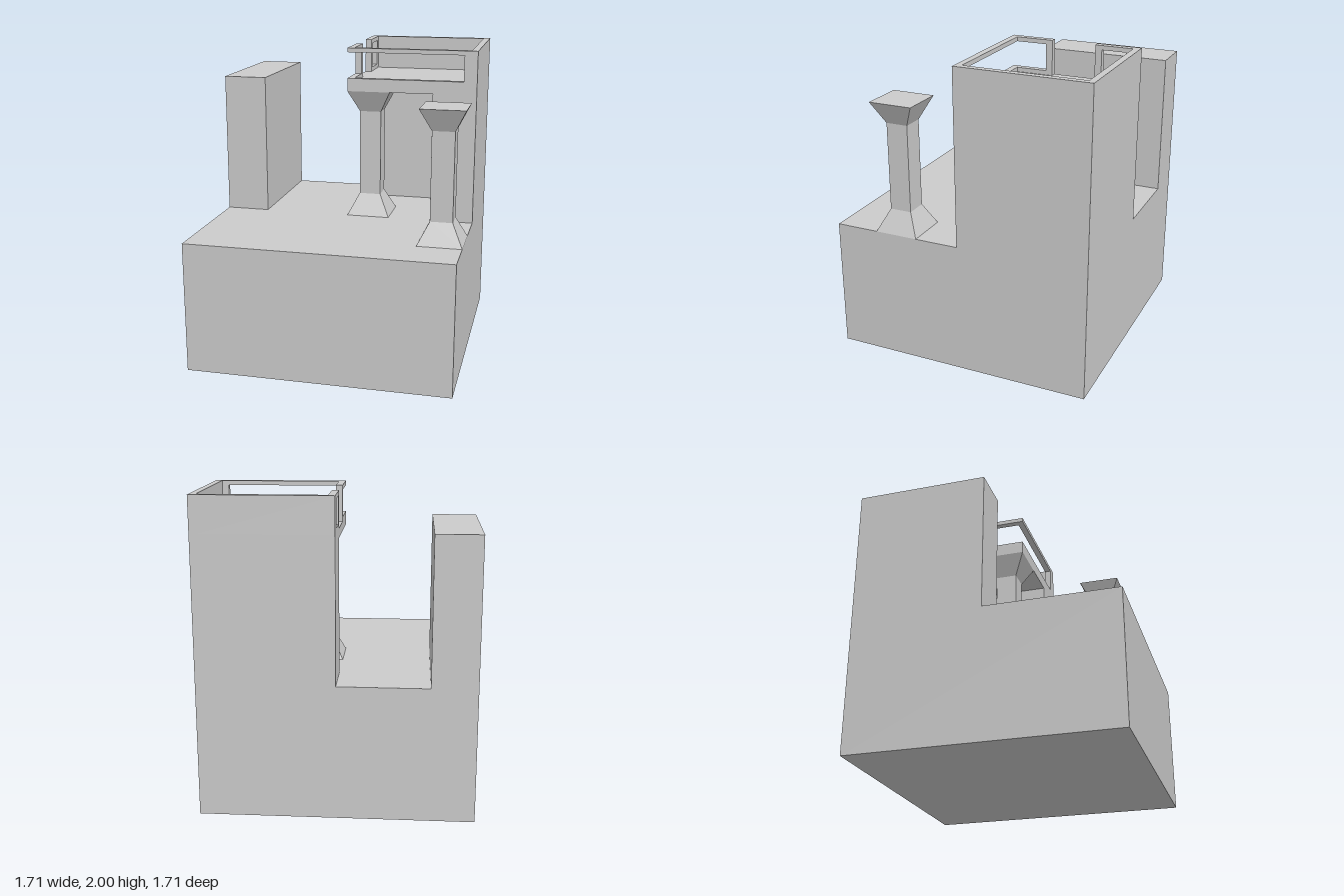
import * as THREE from 'three';

const material = new THREE.MeshStandardMaterial({ color: 0xcccccc, flatShading: true });

// Key dimensions: the model is laid out on a grid of 1/7 unit
const U = 1 / 7;
const HALF = 6 * U;          // half width of the base, also its height
const SLAB = 12 * U;         // underside of the platform
const FLOOR = 12.4 * U;      // platform floor
const SILL = 12.6 * U;       // top of the lower rail
const RAIL = 13.8 * U;       // underside of the upper rail
const TOP = 14 * U;
const T = 0.3 * U;           // parapet thickness

function box(parent, name, [x0, x1], [y0, y1], [z0, z1]) {
  const mesh = new THREE.Mesh(new THREE.BoxGeometry(x1 - x0, y1 - y0, z1 - z0), material);
  mesh.position.set((x0 + x1) / 2, (y0 + y1) / 2, (z0 + z1) / 2);
  mesh.name = name;
  parent.add(mesh);
}

// Square column: flared foot, straight shaft, flared capital
function column(name, x, z) {
  const profile = [[0, 0], [U, 0], [U / 2, U], [U / 2, 5 * U], [U, 6 * U], [0, 6 * U]]
    .map(([r, y]) => new THREE.Vector2(r * Math.SQRT2, y));
  const geometry = new THREE.LatheGeometry(profile, 4).rotateY(Math.PI / 4).toNonIndexed();
  geometry.computeVertexNormals();
  const mesh = new THREE.Mesh(geometry, material);
  mesh.position.set(x, HALF, z);
  mesh.name = name;
  return mesh;
}

export function createModel() {
  const group = new THREE.Group();

  // Base and the free-standing wall on its right side
  box(group, 'base', [-HALF, HALF], [0, HALF], [-HALF, HALF]);
  box(group, 'sideWall', [-HALF, -4 * U], [HALF, 12.5 * U], [-HALF, 0]);

  // L-shaped tower walls, drawn in plan (shape y becomes -z) and raised
  const plan = new THREE.Shape([
    [0, HALF], [0, 4 * U], [4 * U, 4 * U], [4 * U, 0], [HALF, 0], [HALF, HALF],
  ].map(([x, y]) => new THREE.Vector2(x, y)));
  const tower = new THREE.Mesh(
    new THREE.ExtrudeGeometry(plan, { depth: SLAB - HALF, bevelEnabled: false }).rotateX(-Math.PI / 2),
    material);
  tower.position.y = HALF;
  tower.name = 'towerWalls';
  group.add(tower);

  // Platform and its two columns: one carrying the corner, one standing free
  box(group, 'platform', [0, HALF], [SLAB, FLOOR], [-HALF, 0]);
  group.add(column('cornerColumn', U, -U), column('frontColumn', 5 * U, 3 * U));

  // Solid parapet along the left and the back
  const parapet = new THREE.Group();
  parapet.name = 'parapet';
  group.add(parapet);
  box(parapet, 'leftParapet', [HALF - T, HALF], [FLOOR, TOP], [-HALF, 0]);
  box(parapet, 'backParapet', [0, HALF - T], [FLOOR, TOP], [-HALF, -HALF + T]);

  // Open railing: front run and the two side runs next to the entrance gap
  for (const [name, y] of [['lowerRail', [FLOOR, SILL]], ['upperRail', [RAIL, TOP]]]) {
    box(parapet, name + 'Front', [0, HALF - T], y, [-T, 0]);
    box(parapet, name + 'Side', [0, T], y, [-2 * U, -T]);
    box(parapet, name + 'Back', [0, T], y, [-HALF + T, -4 * U]);
  }

  // Posts between the rails
  const span = [SILL, RAIL];
  box(parapet, 'frontPost', [HALF - 2 * T, HALF - T], span, [-T, 0]);
  box(parapet, 'gapPostFront', [0, T], span, [-2 * U, -2 * U + T]);
  box(parapet, 'gapPostBack', [0, T], span, [-4 * U - T, -4 * U]);
  box(parapet, 'backPost', [0, T], span, [-HALF + T, -HALF + 2 * T]);

  return group;
}
